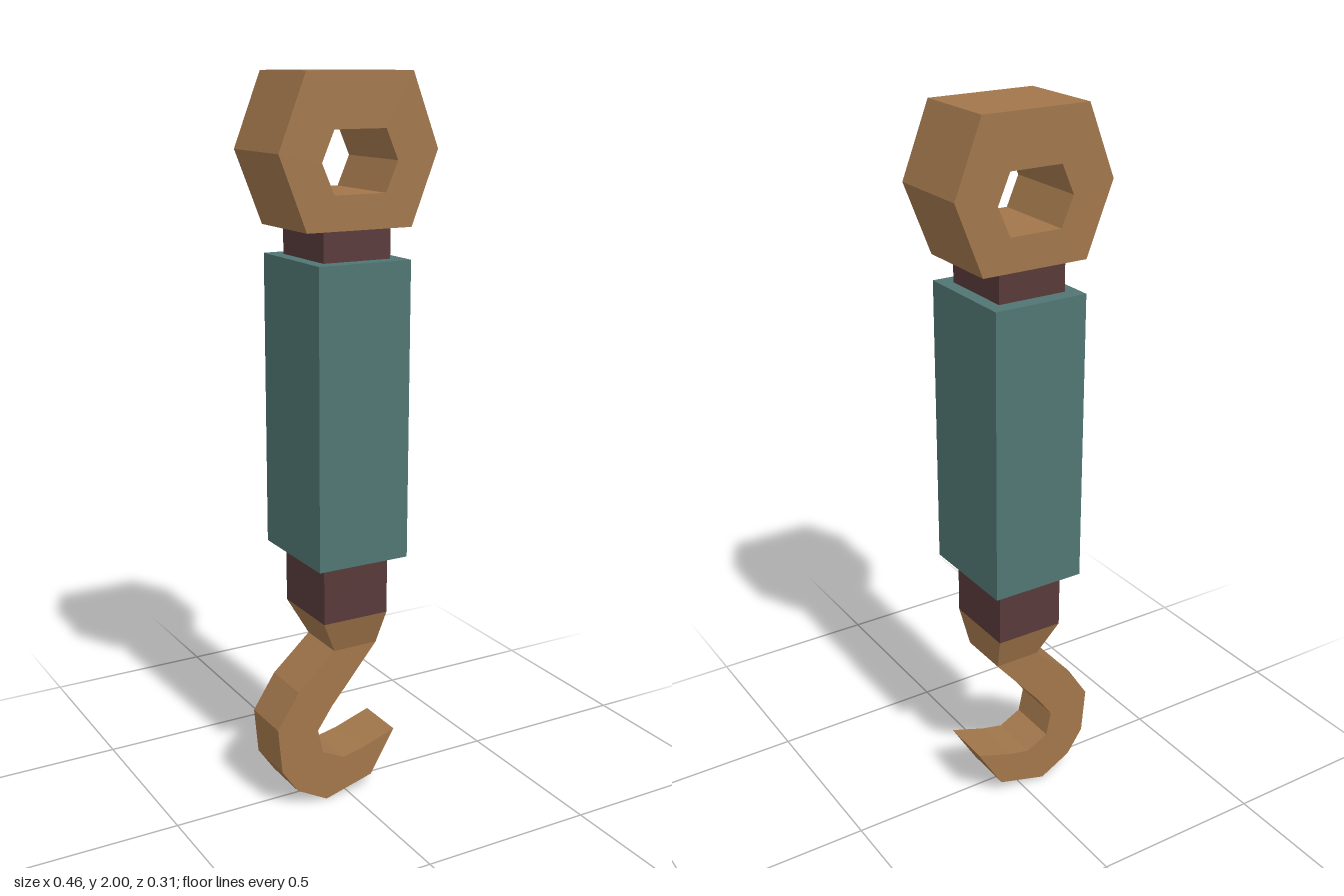
import * as THREE from 'three';

const mat = (name, color) => new THREE.MeshStandardMaterial({ name, color });

export function createModel() {
  const brass = mat('brass brown', 0xa1764b);
  const teal = mat('teal', 0x507673);
  const maroon = mat('dark maroon', 0x583939);
  const group = new THREE.Group();
  group.name = 'hookTool';

  const add = (name, geometry, material) => {
    const mesh = new THREE.Mesh(geometry, material);
    mesh.name = name;
    group.add(mesh);
    return mesh;
  };
  const box = (name, w, d, y0, y1, material) =>
    add(name, new THREE.BoxGeometry(w, y1 - y0, d).translate(0, (y0 + y1) / 2, 0), material);
  const points = (list) => list.map(([x, y]) => new THREE.Vector2(x, y));
  const plate = (shape, depth) =>
    new THREE.ExtrudeGeometry(shape, { depth, bevelEnabled: false }).translate(0, 0, -depth / 2);

  // Hexagon from half widths at the middle and at the flat ends
  const hexagon = (wide, flat, y0, y1) => {
    const mid = (y0 + y1) / 2;
    return points([[-wide, mid], [-flat, y0], [flat, y0], [wide, mid], [flat, y1], [-flat, y1]]);
  };

  // Six-sided eye with a six-sided hole
  const eye = new THREE.Shape(hexagon(0.23, 0.153, 1.61, 2));
  eye.holes.push(new THREE.Path(hexagon(0.11, 0.075, 1.7, 1.86)));
  add('eyeRing', plate(eye, 0.25), brass);

  // Handle sleeve and the necks at its ends
  box('handle', 0.27, 0.306, 0.72, 1.53, teal);
  box('upperNeck', 0.197, 0.22, 1.53, 1.61, maroon);
  box('lowerNeck', 0.197, 0.22, 0.55, 0.72, maroon);

  // Tapered collar, its lower end narrowed and shifted toward the hook
  const collar = new THREE.BoxGeometry(0.197, 0.1, 0.22).translate(0, 0.5, 0);
  const p = collar.attributes.position;
  for (let i = 0; i < p.count; i++) {
    if (p.getY(i) < 0.5) p.setXYZ(i, p.getX(i) < 0 ? -0.048 : 0.085, 0.45, Math.sign(p.getZ(i)) * 0.075);
  }
  collar.computeVertexNormals();
  add('hookCollar', collar, brass);

  // Faceted hook: outer edge down to the tip, then back along the inside
  const hook = new THREE.Shape(points([
    [-0.048, 0.45], [-0.16, 0.35], [-0.225, 0.25], [-0.213, 0.12], [-0.165, 0.05],
    [-0.073, 0], [0.073, 0.04], [0.148, 0.165], [0.042, 0.13], [-0.02, 0.117],
    [-0.085, 0.15], [-0.1, 0.22], [-0.055, 0.285], [0.005, 0.355], [0.085, 0.45],
  ]));
  add('hook', plate(hook, 0.15), brass);

  return group;
}
